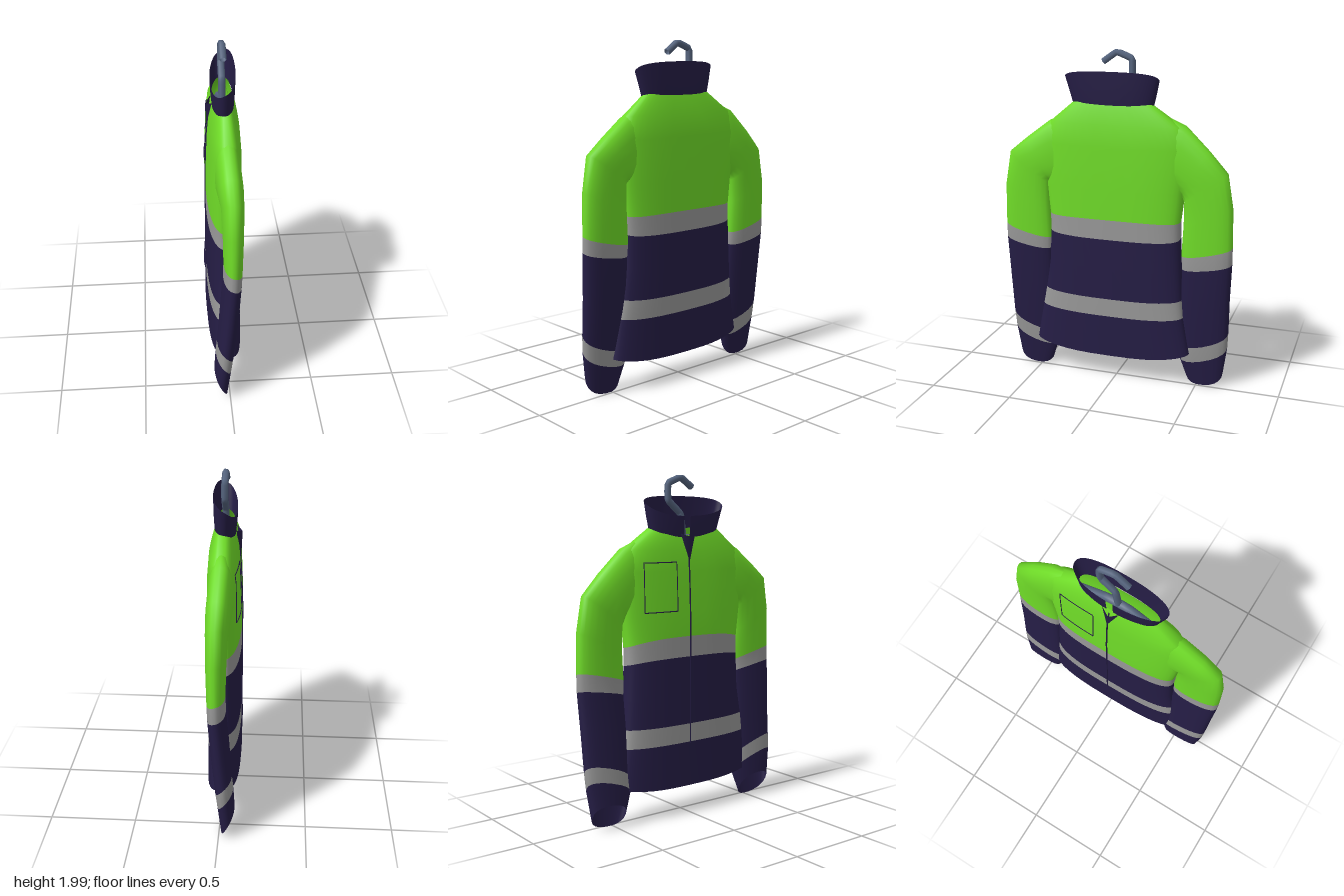
import * as THREE from 'three';

const mat = (color) => new THREE.MeshStandardMaterial({ color, side: THREE.DoubleSide });
const LIME = mat(0x70dd28), NAVY = mat(0x251d45), SILVER = mat(0x999999), STEEL = mat(0x56657f);

const power = (v, e) => Math.sign(v) * Math.abs(v) ** e;

// Skins a list of rings, then splits it into coloured bands that share smooth normals.
// Each band is [name, firstRing, lastRing, material].
function loft(rings, bands, closed = true) {
  const n = rings[0].length, spans = closed ? n : n - 1;
  const index = [];
  for (let r = 0; r < rings.length - 1; r++) {
    for (let i = 0; i < spans; i++) {
      const a = r * n + i, b = r * n + (i + 1) % n;
      index.push(a, b, a + n, b, b + n, a + n);
    }
  }
  const whole = new THREE.BufferGeometry().setFromPoints(rings.flat());
  whole.setIndex(index);
  whole.computeVertexNormals();
  return bands.map(([name, from, to, material]) => {
    const g = new THREE.BufferGeometry();
    g.setAttribute('position', whole.attributes.position);
    g.setAttribute('normal', whole.attributes.normal);
    g.setIndex(index.slice(from * spans * 6, to * spans * 6));
    const mesh = new THREE.Mesh(g, material);
    mesh.name = name;
    return mesh;
  });
}

// Horizontal flattened ring: angle 0 is the jacket's back (+x), PI its front (-x)
function bodyRing([yBack, yFront, rise, zPos, zNeg, xBack, xFront], gap = 0, e = 0.7, n = 40) {
  const pts = [];
  const steps = gap ? n - 1 : n;
  for (let i = 0; i < n; i++) {
    const t = -Math.PI + gap + (i / steps) * 2 * (Math.PI - gap);
    const c = Math.cos(t), s = Math.sin(t);
    pts.push(new THREE.Vector3(
      power(c, e) * (c > 0 ? xBack : xFront),
      (yBack + yFront) / 2 + c * (yBack - yFront) / 2 + rise * s * s,
      power(s, e) * (s > 0 ? zPos : zNeg)));
  }
  return pts;
}

// yBack, yFront, side rise, +z width, -z width, back depth, front depth
const TORSO = [
  [1.69, 1.65, 0.02, 0.26, 0.22, 0.05, 0.06],
  [1.58, 1.57, 0, 0.40, 0.39, 0.08, 0.08],
  [1.45, 1.45, 0, 0.45, 0.45, 0.09, 0.09],
  [1.20, 1.20, 0, 0.43, 0.41, 0.092, 0.1],
  [1.02, 1.07, -0.02, 0.41, 0.39, 0.092, 0.1],
  [0.90, 0.95, -0.005, 0.41, 0.39, 0.092, 0.1],
  [0.72, 0.72, 0, 0.42, 0.40, 0.092, 0.1],
  [0.53, 0.55, 0.01, 0.45, 0.41, 0.092, 0.1],
  [0.42, 0.44, 0.01, 0.47, 0.42, 0.092, 0.1],
  [0.165, 0.175, 0.04, 0.51, 0.46, 0.092, 0.1],
];

// outer z, outer y, inner z, inner y, x centre, half depth, slant, y shift on the -z side
const SLEEVE = [
  [0.33, 1.61, 0.30, 1.18, 0, 0.06, 0, 0.01],
  [0.41, 1.575, 0.36, 1.20, 0, 0.07, 0, 0.01],
  [0.55, 1.47, 0.395, 1.21, 0.008, 0.067, 0, -0.02],
  [0.66, 1.38, 0.41, 1.20, 0.012, 0.06, 0, -0.05],
  [0.695, 1.18, 0.41, 1.06, 0.015, 0.055, 0, -0.05],
  [0.70, 0.94, 0.40, 0.87, 0.015, 0.05, -0.3, -0.04],
  [0.70, 0.85, 0.405, 0.80, 0.012, 0.05, -0.3, -0.05],
  [0.69, 0.58, 0.40, 0.54, -0.005, 0.05, -0.6, 0],
  [0.685, 0.36, 0.395, 0.27, -0.025, 0.046, -1, 0],
  [0.68, 0.265, 0.39, 0.18, -0.035, 0.044, -1.2, 0],
  [0.655, 0.09, 0.43, 0.07, -0.05, 0.038, -1.9, 0],
];

function sleeveRing([zo, yo, zi, yi, xc, xd, slant, shift], side, n = 20) {
  const pts = [];
  for (let i = 0; i < n; i++) {
    const t = (i / n) * Math.PI * 2;
    const k = (1 + power(Math.cos(t), 0.85)) / 2, dx = power(Math.sin(t), 0.85) * xd;
    const y = yi + (yo - yi) * k + slant * dx + (side < 0 ? shift : 0);
    pts.push(new THREE.Vector3(xc + dx, y, side * (zi + (zo - zi) * k)));
  }
  return pts;
}

// x of the jacket's front surface at a given height and z
function frontX(y, z) {
  const i = Math.max(1, TORSO.findIndex((r) => r[1] <= y));
  const a = TORSO[i - 1], b = TORSO[i], k = (a[1] - y) / (a[1] - b[1]);
  const mix = (j) => a[j] + (b[j] - a[j]) * k;
  const w = z > 0 ? mix(3) : mix(4);
  return -mix(6) * (1 - (Math.abs(z) / w) ** (2 / 0.7)) ** 0.35;
}

function tube(name, points, radius, material, segments, sides = 6) {
  const curve = new THREE.CatmullRomCurve3(points.map((p) => new THREE.Vector3(...p)), false, 'catmullrom', 0.1);
  const mesh = new THREE.Mesh(new THREE.TubeGeometry(curve, segments, radius, sides), material);
  mesh.name = name;
  return mesh;
}

// Thin seam between two (y, z) positions on the jacket's front
function seam(name, [y0, z0], [y1, z1], radius) {
  const pts = [];
  for (let i = 0; i <= 12; i++) {
    const k = i / 12, y = y0 + (y1 - y0) * k, z = z0 + (z1 - z0) * k;
    pts.push([frontX(y, z) - 0.001, y, z]);
  }
  return tube(name, pts, radius, NAVY, 24, 4);
}

export function createModel() {
  const model = new THREE.Group();
  model.name = 'jacketOnHanger';
  const group = (name, ...parts) => {
    const g = new THREE.Group();
    g.name = name;
    g.add(...parts);
    model.add(g);
  };

  // Torso with two reflective bands
  group('torso', ...loft(TORSO.map((r) => bodyRing(r)), [
    ['torsoUpper', 0, 4, LIME], ['chestBand', 4, 5, SILVER], ['torsoLower', 5, 7, NAVY],
    ['waistBand', 7, 8, SILVER], ['hem', 8, 9, NAVY],
  ]));

  // Sleeves
  for (const side of [1, -1]) {
    group(side > 0 ? 'sleeveA' : 'sleeveB', ...loft(SLEEVE.map((r) => sleeveRing(r, side)), [
      ['shoulder', 0, 5, LIME], ['elbowBand', 5, 6, SILVER], ['forearm', 6, 8, NAVY],
      ['wristBand', 8, 9, SILVER], ['cuff', 9, 10, NAVY],
    ]));
  }

  // Standing collar, open at the front
  const collar = [
    [1.685, 1.64, 0.025, 0.265, 0.22, 0.055, 0.063],
    [1.77, 1.70, 0.02, 0.285, 0.235, 0.06, 0.068],
    [1.875, 1.76, 0.015, 0.31, 0.25, 0.062, 0.07],
  ].map((r) => bodyRing(r, 0.05, 0.85));
  group('collar', ...loft(collar, [['collarBand', 0, 2, NAVY]], false));

  // Dark V of the open neck above the zip
  const v = new THREE.BufferGeometry().setFromPoints([
    new THREE.Vector3(-0.066, 1.66, -0.045), new THREE.Vector3(-0.092, 1.5, 0),
    new THREE.Vector3(-0.098, 1.64, 0.012), new THREE.Vector3(-0.066, 1.66, 0.06),
  ]);
  v.setIndex([0, 1, 2, 2, 1, 3]);
  v.computeVertexNormals();
  const opening = new THREE.Mesh(v, NAVY);
  opening.name = 'neckOpening';

  // Zip and chest pocket outline
  const corners = [[1.5, -0.09], [1.5, -0.31], [1.22, -0.31], [1.22, -0.09]];
  group('frontDetails', opening, seam('zip', [1.62, 0], [0.43, 0], 0.005),
    ...corners.map((c, i) => seam('pocketSeam', c, corners[(i + 1) % 4], 0.003)));

  // Hanger: hook and the bar hidden in the shoulders
  group('hanger',
    tube('hook', [[-0.005, 1.925, 0.08], [-0.005, 1.98, 0], [-0.005, 1.945, -0.09], [-0.005, 1.85, -0.09],
      [-0.005, 1.77, 0], [-0.005, 1.62, 0.02]], 0.02, STEEL, 30),
    tube('bar', [[0, 1.5, -0.36], [0, 1.63, -0.05], [0, 1.63, 0.09], [0, 1.5, 0.38]], 0.025, STEEL, 20));

  return model;
}
